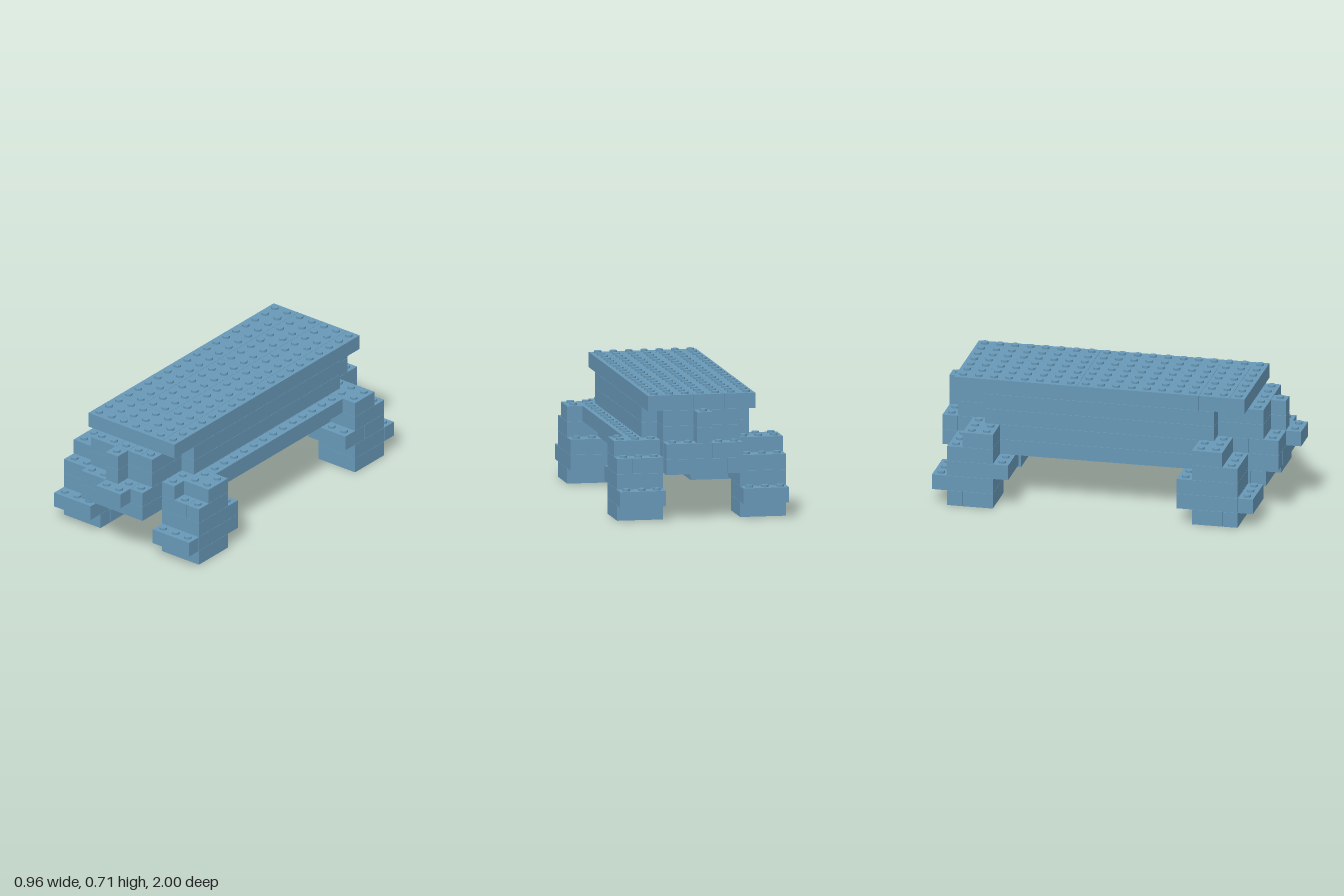
import * as THREE from 'three';
import { mergeGeometries } from 'three/addons/utils/BufferGeometryUtils.js';

const P = 2 / 23;          // stud pitch, also the brick height
const GAP = 0.0015;        // thin joint between bricks
const COLS = 11, ROWS = 23;

export function createModel() {
  const model = new THREE.Group();
  model.name = 'brickTable';
  const blue = new THREE.MeshStandardMaterial({ color: 0x6798b7 });
  blue.name = 'greyBlue';

  const bricks = [];
  const filled = new Set();
  const key = (l, c, r) => `${l},${c},${r}`;

  // One brick covering columns c0..c1 (x) and rows r0..r1 (z, back to front)
  function brick(name, layer, c0, c1, r0, r1) {
    bricks.push({ name, layer, c0, c1, r0, r1 });
    for (let c = c0; c <= c1; c++)
      for (let r = r0; r <= r1; r++) filled.add(key(layer, c, r));
  }
  // The same brick on both sides of the centre line
  function pair(name, layer, c0, c1, r0, r1) {
    brick(name, layer, c0, c1, r0, r1);
    brick(name, layer, COLS - 1 - c1, COLS - 1 - c0, r0, r1);
  }

  // Stepped legs: [layer, first row, joint row, last row]
  const frontLeg = [[0, 17, 19, 19], [1, 16, 20, 20], [2, 16, 18, 19]];
  const backLeg = [[0, 1, 2, 3], [1, 0, 1, 3], [2, 1, 3, 4]];
  for (const [name, steps] of [['frontLeg', frontLeg], ['backLeg', backLeg]]) {
    for (const [layer, first, joint, last] of steps) {
      pair(name, layer, 0, 2, first, joint - 1);
      pair(name, layer, 0, 2, joint, last);
    }
  }

  // Hips above the legs
  for (const [name, r0, r1] of [['frontHip', 17, 19], ['backHip', 1, 3]]) {
    brick(name, 3, 0, 1, r0, r1);
    brick(name, 3, 8, 9, r0, r1);
    brick(name, 3, 10, 10, r0, r1);
    brick(name, 3, 2, 2, r0, r1);
  }
  pair('frontHipTop', 4, 0, 2, 17, 18);
  pair('backHipTop', 4, 0, 2, 2, 3);
  brick('frontHipTop', 4, 8, 8, 19, 19);

  // Belly
  brick('belly', 3, 3, 7, 1, 10);
  brick('belly', 3, 3, 7, 11, 20);
  pair('bellySide', 3, 2, 2, 4, 16);
  for (const [name, r] of [['backLedge', 0], ['frontLedge', 21]]) {
    brick(name, 3, 3, 3, r, r);
    brick(name, 3, 4, 7, r, r);
  }

  // Lower body course with its ledges, front nose and side shelf
  brick('lowerBody', 4, 3, 7, 1, 11);
  brick('lowerBody', 4, 3, 7, 12, 19);
  brick('frontLedge', 4, 3, 4, 20, 21);
  brick('frontNose', 4, 5, 6, 20, 22);
  brick('frontLedge', 4, 7, 7, 20, 21);
  brick('backLedge', 4, 3, 4, 0, 0);
  brick('backLedge', 4, 5, 7, 0, 0);
  pair('lowerBodySide', 4, 2, 2, 4, 16);
  brick('sideShelf', 4, 9, 9, 4, 11);
  brick('sideShelf', 4, 9, 9, 12, 16);

  // Upper body, narrower at both ends, with a post in the middle of each end
  for (const layer of [5, 6]) {
    brick('upperBody', layer, 2, 8, 3, 10);
    brick('upperBody', layer, 2, 8, 11, 17);
    for (const [c0, c1] of [[3, 4], [5, 5], [6, 6], [7, 7]]) {
      brick('upperBodyFront', layer, c0, c1, 18, 20);
      brick('upperBodyBack', layer, c0, c1, 1, 2);
    }
    brick('frontPost', layer, 5, 5, 21, 21);
    brick('backPost', layer, 5, 5, 0, 0);
  }

  // Top slab: long bricks, then cross bricks at the front
  for (const [c0, c1] of [[2, 3], [4, 5], [6, 7]]) {
    brick('topSlab', 7, c0, c1, 1, 8);
    brick('topSlab', 7, c0, c1, 9, 16);
  }
  brick('topSlab', 7, 2, 7, 17, 18);
  brick('topSlab', 7, 2, 7, 19, 19);
  brick('topSlab', 7, 8, 8, 1, 8);
  brick('topSlab', 7, 8, 8, 9, 19);

  // Brick meshes, each with studs where its top is open
  const stud = new THREE.CylinderGeometry(0.021, 0.021, 0.0125, 16);
  for (const b of bricks) {
    const w = b.c1 - b.c0 + 1, d = b.r1 - b.r0 + 1;
    const parts = [new THREE.BoxGeometry(w * P - GAP, P - GAP, d * P - GAP).translate(
      (b.c0 + w / 2 - COLS / 2) * P, (b.layer + 0.5) * P, (b.r0 + d / 2 - ROWS / 2) * P)];
    for (let c = b.c0; c <= b.c1; c++)
      for (let r = b.r0; r <= b.r1; r++) {
        if (filled.has(key(b.layer + 1, c, r))) continue;
        parts.push(stud.clone().translate(
          (c + 0.5 - COLS / 2) * P, (b.layer + 1) * P + 0.0055, (r + 0.5 - ROWS / 2) * P));
      }
    const mesh = new THREE.Mesh(mergeGeometries(parts), blue);
    mesh.name = b.name;
    model.add(mesh);
  }
  return model;
}
